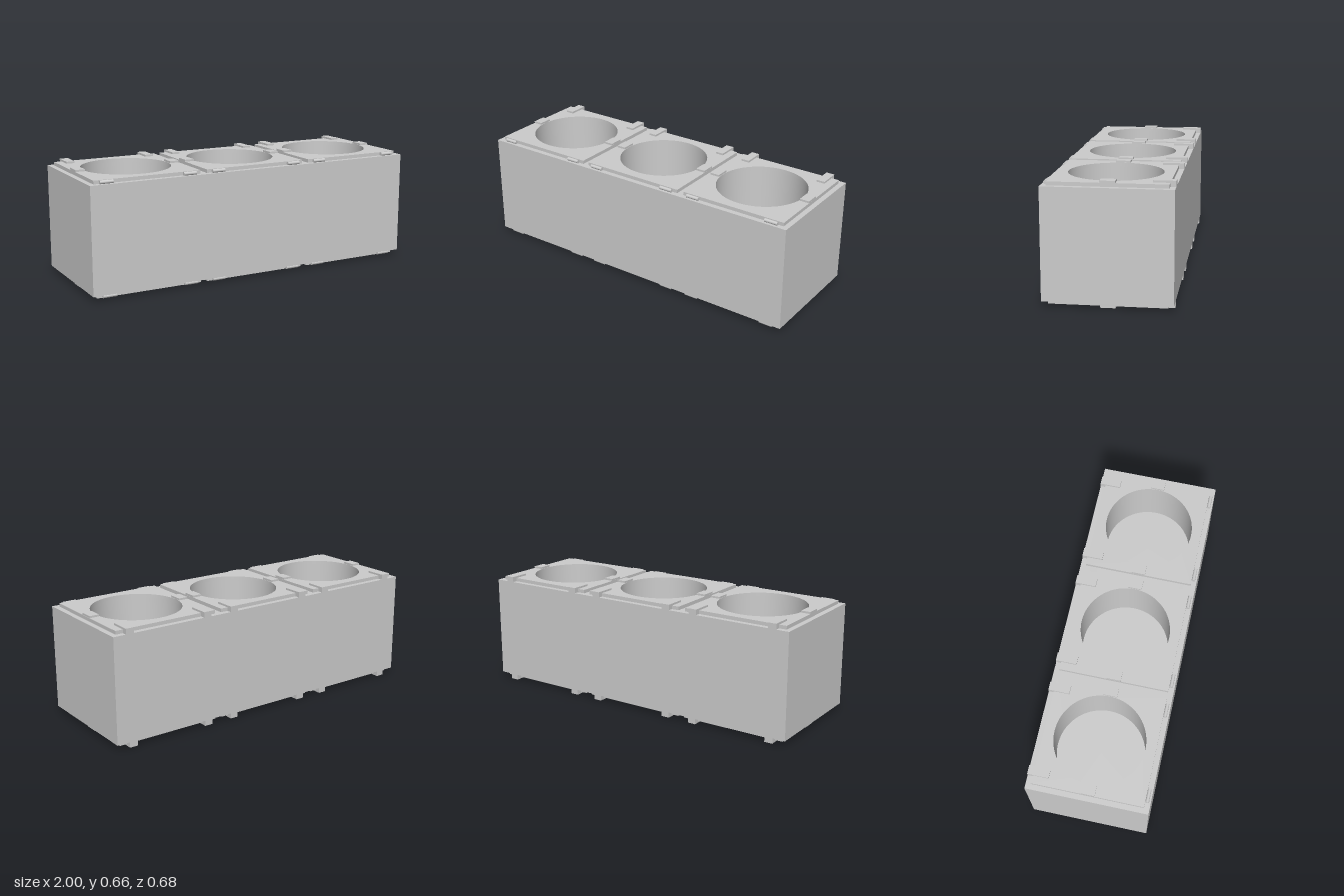
import * as THREE from 'three';
import { toCreasedNormals } from 'three/addons/utils/BufferGeometryUtils.js';

const MID = 0.33;        // mid height, the block mirrors about it
const R = 0.253;         // pocket radius
const CELLS = [-0.66, 0, 0.66];

// Rectangular slab lying flat, centred on y = 0, with round holes at the given x positions
function slab(width, depth, height, holes) {
  const w = width / 2, d = depth / 2;
  const shape = new THREE.Shape([
    new THREE.Vector2(-w, -d), new THREE.Vector2(w, -d),
    new THREE.Vector2(w, d), new THREE.Vector2(-w, d),
  ]);
  for (const x of holes) {
    shape.holes.push(new THREE.Path().absarc(x, 0, R, 0, Math.PI * 2, true));
  }
  const geo = new THREE.ExtrudeGeometry(shape, { depth: height, bevelEnabled: false, curveSegments: 48 });
  geo.translate(0, 0, -height / 2).rotateX(-Math.PI / 2);
  return toCreasedNormals(geo, 0.6);
}

export function createModel() {
  const model = new THREE.Group();
  const material = new THREE.MeshStandardMaterial({ color: 0xcccccc });
  const add = (parent, name, geo, x, y, z) => {
    const mesh = new THREE.Mesh(geo, material);
    mesh.name = name;
    mesh.position.set(x, y, z);
    parent.add(mesh);
    return mesh;
  };

  // Main block with three round pockets
  add(model, 'block', slab(2, 0.68, 0.598, CELLS), 0, MID, 0);

  // Shared part geometries
  const plateGeo = slab(0.62, 0.62, 0.02, [0]);
  const floorGeo = new THREE.CylinderGeometry(R, R, 0.06, 96);
  const clipGeo = new THREE.BoxGeometry(0.055, 0.031, 0.08);
  const tabGeo = new THREE.BoxGeometry(0.048, 0.031, 0.118);
  const hingeGeo = new THREE.CylinderGeometry(0.01, 0.01, 0.076, 20).rotateZ(Math.PI / 2);

  for (const x of CELLS) {
    // Floor shared by the upper and lower pocket
    add(model, 'pocketFloor', floorGeo, x, MID, 0);

    // Cover plate with its fittings, above and below
    for (const side of [1, -1]) {
      const cover = new THREE.Group();
      cover.name = side > 0 ? 'topCover' : 'bottomCover';
      cover.position.set(x, MID, 0);
      model.add(cover);
      add(cover, 'coverPlate', plateGeo, 0, side * 0.309, 0);
      for (const s of [-1, 1]) {
        add(cover, 'sideClip', clipGeo, s * 0.282, side * 0.3145, 0);
        add(cover, 'backTab', tabGeo, s * 0.242, side * 0.3145, -0.281);
        add(cover, 'frontHinge', hingeGeo, s * 0.242, side * 0.309, 0.32);
      }
    }
  }
  return model;
}
